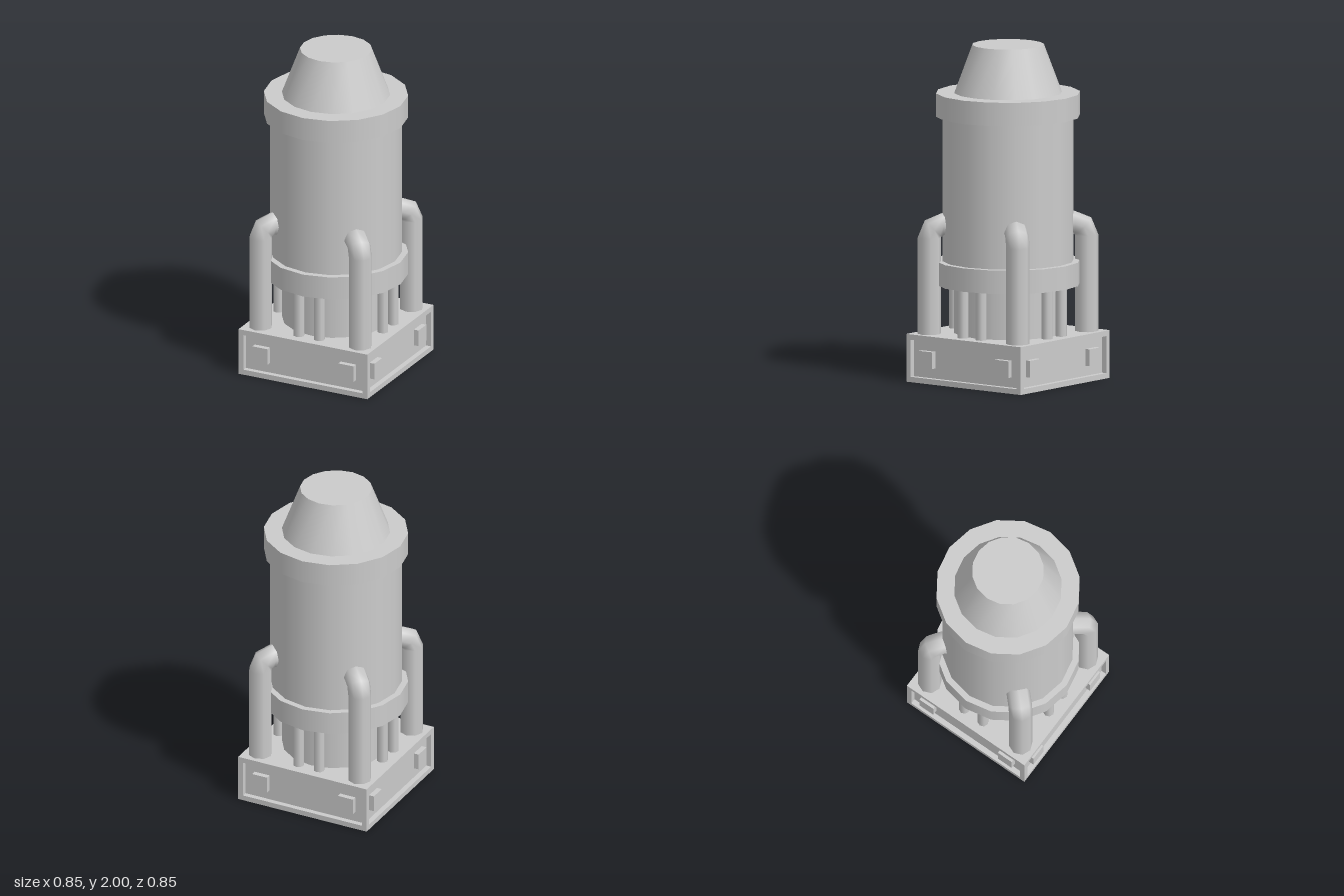
import * as THREE from 'three';

const HALF = 0.427;      // half width of the base and radius of the collars
const BASE_TOP = 0.285;
const RIM = 0.032;       // width and depth of the frame around the side panels

export function createModel() {
  const model = new THREE.Group();
  const material = new THREE.MeshStandardMaterial({ color: 0xcccccc });

  function add(parent, name, geometry, x = 0, y = 0, z = 0) {
    const mesh = new THREE.Mesh(geometry, material);
    mesh.name = name;
    mesh.position.set(x, y, z);
    parent.add(mesh);
    return mesh;
  }
  // Upright cylinder given by its bottom and top heights
  function column(parent, name, rTop, rBottom, y0, y1, sides, x = 0, z = 0) {
    const geometry = new THREE.CylinderGeometry(rTop, rBottom, y1 - y0, sides);
    return add(parent, name, geometry, x, (y0 + y1) / 2, z);
  }

  // Square base with a recessed panel on every side
  const base = new THREE.Group();
  base.name = 'base';
  model.add(base);
  const inner = 2 * (HALF - RIM);
  const slab = new THREE.BoxGeometry(2 * HALF, RIM, 2 * HALF);
  add(base, 'bottomPlate', slab, 0, RIM / 2, 0);
  add(base, 'topPlate', slab, 0, BASE_TOP - RIM / 2, 0);
  add(base, 'baseCore', new THREE.BoxGeometry(inner, BASE_TOP - 2 * RIM, inner), 0, BASE_TOP / 2, 0);
  const post = new THREE.BoxGeometry(RIM, BASE_TOP - 2 * RIM, RIM);
  const block = new THREE.BoxGeometry(0.1, 0.1, RIM);

  // Each quarter: corner post, panel blocks, support rods and an elbow pipe
  for (let i = 0; i < 4; i++) {
    const quarter = new THREE.Group();
    quarter.name = 'quarter';
    quarter.rotation.y = i * Math.PI / 2;
    model.add(quarter);

    const edge = HALF - RIM / 2;
    add(quarter, 'cornerPost', post, edge, BASE_TOP / 2, edge);
    for (const side of [-1, 1]) {
      add(quarter, 'panelBlock', block, side * 0.285, BASE_TOP / 2, edge);
      column(quarter, 'supportRod', 0.033, 0.033, BASE_TOP, 0.6, 8, side * 0.068, 0.345);
    }

    // Pipe rises at the corner and bends inward into the tank
    const pipe = new THREE.Group();
    pipe.name = 'pipe';
    pipe.rotation.y = Math.PI / 4;
    quarter.add(pipe);
    const r = 0.07, bend = 0.075, reach = 0.467, bendY = 0.857;
    column(pipe, 'pipeRiser', r, r, BASE_TOP, bendY, 8, reach);
    add(pipe, 'pipeElbow', new THREE.TorusGeometry(bend, r, 8, 2, Math.PI / 2), reach - bend, bendY, 0);
    const inlet = new THREE.CylinderGeometry(r, r, 0.1, 8);
    add(pipe, 'pipeInlet', inlet, reach - bend - 0.05, bendY + bend, 0).rotation.z = Math.PI / 2;
  }

  // Tank on its pedestal, with two collars and a tapered top
  column(model, 'pedestal', 0.32, 0.32, BASE_TOP, 0.6, 16);
  column(model, 'lowerCollar', HALF, HALF, 0.575, 0.715, 16);
  column(model, 'tank', 0.39, 0.39, 0.6, 1.6, 16);
  column(model, 'upperCollar', HALF, HALF, 1.575, 1.715, 16);
  column(model, 'taperedTop', 0.213, 0.32, 1.715, 2, 16);

  return model;
}
